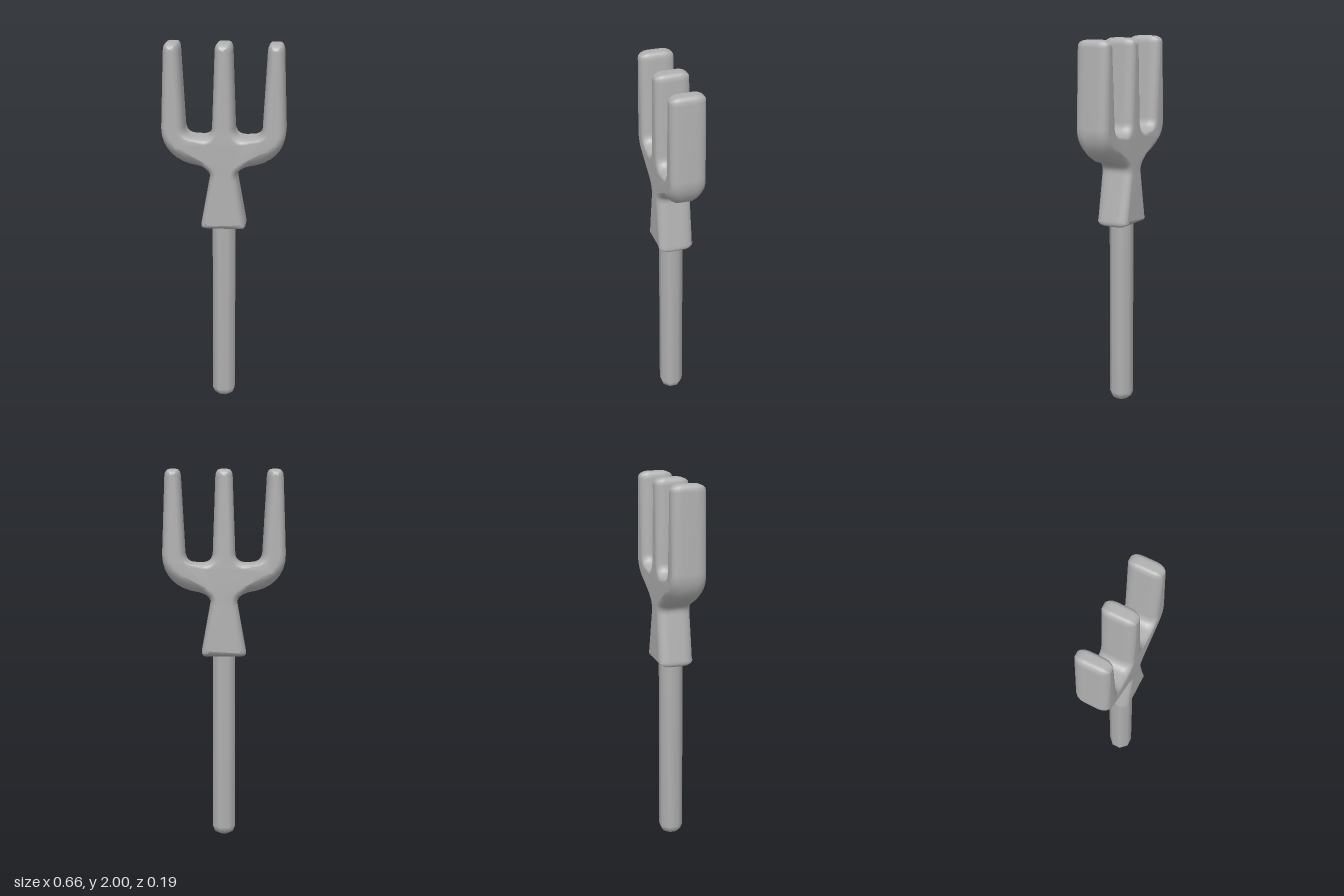
import * as THREE from 'three';
import { mergeVertices } from 'three/addons/utils/BufferGeometryUtils.js';

const HALF_DEPTH = 0.093;

// Right half of the fork head outline, from bottom centre to top centre.
function headOutline() {
  const p = new THREE.Path();
  p.moveTo(0, 1);
  p.lineTo(0.095, 1);                                 // socket
  p.quadraticCurveTo(0.125, 1, 0.118, 1.035);
  p.lineTo(0.074, 1.28);
  p.quadraticCurveTo(0.062, 1.335, 0.14, 1.342);      // neck fillet
  p.bezierCurveTo(0.25, 1.352, 0.33, 1.43, 0.33, 1.55); // outer bend
  p.lineTo(0.315, 1.96);                              // outer tine
  p.quadraticCurveTo(0.312, 2, 0.285, 2);
  p.lineTo(0.255, 2);
  p.quadraticCurveTo(0.232, 2, 0.229, 1.96);
  p.lineTo(0.207, 1.56);
  p.quadraticCurveTo(0.203, 1.505, 0.15, 1.503);      // crossbar top
  p.lineTo(0.115, 1.503);
  p.quadraticCurveTo(0.062, 1.505, 0.06, 1.56);
  p.lineTo(0.046, 1.96);                              // centre tine
  p.quadraticCurveTo(0.043, 2, 0.018, 2);
  p.lineTo(0, 2);
  const right = p.getPoints(8);
  const left = right.slice(1, -1).reverse().map(v => new THREE.Vector2(-v.x, v.y));
  return new THREE.Shape([...right, ...left]);
}

function headGeometry() {
  const thickness = 0.055, size = 0.035, depth = 2 * (HALF_DEPTH - thickness);
  let g = new THREE.ExtrudeGeometry(headOutline(), {
    depth, bevelEnabled: true, bevelThickness: thickness,
    bevelSize: size, bevelOffset: -size, bevelSegments: 4,
  });
  g.translate(0, 0, -depth / 2);
  // Round the underside of the crossbar further towards front and back.
  const pos = g.attributes.position;
  for (let i = 0; i < pos.count; i++) {
    const x = Math.abs(pos.getX(i)), y = pos.getY(i), z = Math.abs(pos.getZ(i));
    const low = THREE.MathUtils.clamp((1.52 - y) / 0.15, 0, 1);
    const out = THREE.MathUtils.smoothstep(x, 0.08, 0.16) * (y > 1.3 ? 1 : 0);
    pos.setY(i, y + 0.045 * low * out * (z / HALF_DEPTH) ** 2);
  }
  // Weld for one smooth surface.
  g.deleteAttribute('uv');
  g.deleteAttribute('normal');
  g = mergeVertices(g, 1e-4);
  g.computeVertexNormals();
  return g;
}

export function createModel() {
  const group = new THREE.Group();
  const grey = new THREE.MeshStandardMaterial({ color: 0xb0b0b0 });
  grey.name = 'grey';

  // Fork head: socket, crossbar and three tines in one piece
  const head = new THREE.Mesh(headGeometry(), grey);
  head.name = 'forkHead';

  // Eight-sided handle with a rounded end
  const profile = [[0, 0], [0.035, 0.004], [0.054, 0.017], [0.065, 0.045], [0.065, 1.05]]
    .map(([r, y]) => new THREE.Vector2(r, y));
  const handle = new THREE.Mesh(new THREE.LatheGeometry(profile, 8, Math.PI / 8), grey);
  handle.name = 'handle';

  group.add(head, handle);
  return group;
}
